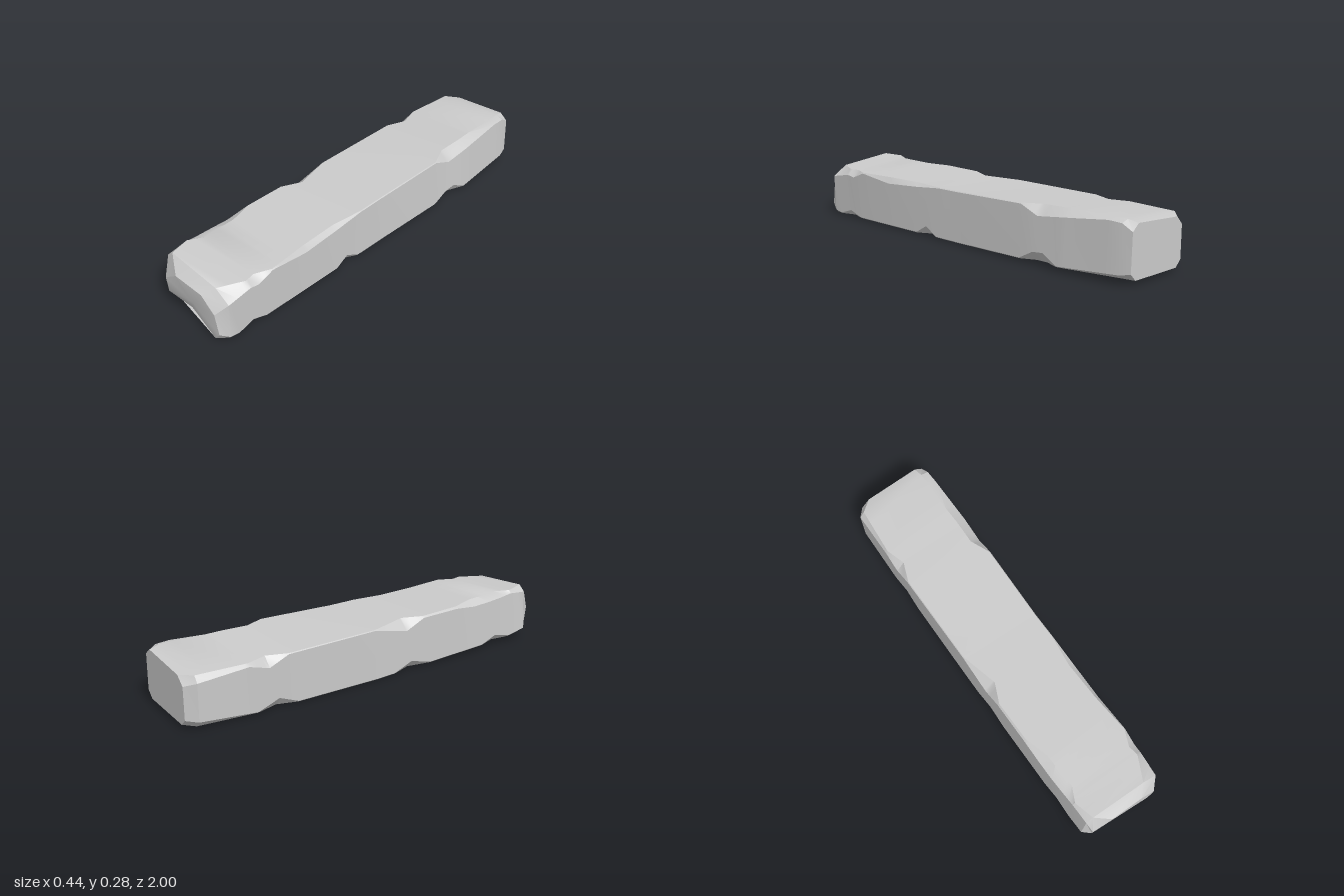
import * as THREE from 'three';
import { toCreasedNormals } from 'three/addons/utils/BufferGeometryUtils.js';

// Slightly twisted beam: corners [x, y] as top right, top left, bottom left, bottom right
const frames = [
  { z: -1, c: [[0.195, 0.283], [-0.215, 0.256], [-0.212, 0.014], [0.205, 0.03]] },
  { z: -0.63, c: [[0.208, 0.278], [-0.22, 0.258], [-0.213, 0.008], [0.22, 0.02]] },
  { z: 0, c: [[0.197, 0.262], [-0.216, 0.262], [-0.214, 0.003], [0.2, 0.008]] },
  { z: 0.7, c: [[0.207, 0.26], [-0.212, 0.277], [-0.214, 0.026], [0.197, 0.009]] },
  { z: 1, c: [[0.2, 0.258], [-0.2, 0.289], [-0.213, 0.04], [0.194, 0.01]] },
];

// Worn edges and chips: [z, cut across the width, cut down the side] along each edge
const chips = [
  [[-0.95, 0.04, 0.012], [-0.88, 0.04, 0.008], [-0.72, 0.05, 0.025], [-0.5, 0.05, 0.047], [-0.4, 0.004, 0.004],
    [0.14, 0.004, 0.004], [0.3, 0.025, 0.018], [0.5, 0.02, 0.03], [0.7, 0.004, 0.004], [0.78, 0.036, 0.035],
    [0.83, 0.025, 0.028], [0.95, 0.08, 0.05]],
  [[-0.95, 0.025, 0.03], [-0.7, 0.01, 0.015], [-0.6, 0.042, 0.045], [-0.5, 0.004, 0.004], [-0.02, 0.004, 0.004],
    [0.17, 0.052, 0.05], [0.27, 0.008, 0.008], [0.48, 0.01, 0.01], [0.6, 0.045, 0.025], [0.78, 0.05, 0.02],
    [0.85, 0.012, 0.015], [0.95, 0.035, 0.03]],
  [[-0.95, 0.03, 0.03], [-0.66, 0.004, 0.004], [-0.55, 0.035, 0.045], [-0.45, 0.004, 0.004], [0.1, 0.004, 0.004],
    [0.2, 0.035, 0.04], [0.32, 0.004, 0.004], [0.66, 0.004, 0.004], [0.75, 0.03, 0.035], [0.85, 0.006, 0.006],
    [0.95, 0.05, 0.02]],
  [[-0.95, 0.03, 0.02], [-0.62, 0.004, 0.004], [-0.54, 0.035, 0.05], [-0.48, 0.035, 0.045], [-0.4, 0.004, 0.004],
    [0.16, 0.004, 0.004], [0.23, 0.04, 0.045], [0.3, 0.004, 0.004], [0.74, 0.004, 0.004], [0.82, 0.03, 0.03],
    [0.9, 0.004, 0.004], [0.95, 0.012, 0.012]],
];

// End faces, in the same order as the eight points of a section
const backEnd = [[0.19, 0.24, -1], [0.15, 0.272, -1], [-0.13, 0.25, -1], [-0.175, 0.21, -1],
  [-0.175, 0.05, -1], [-0.14, 0.018, -1], [0.16, 0.026, -1], [0.195, 0.06, -1]];
const frontEnd = [[0.16, 0.16, 1], [0.08, 0.225, 1], [-0.09, 0.23, 1], [-0.185, 0.16, 0.99],
  [-0.18, 0.08, 0.985], [-0.06, 0.036, 0.955], [0.145, 0.014, 0.995], [0.175, 0.05, 0.995]];

// Linear lookup of [key, ...values] rows
function sample(rows, z) {
  let i = 0;
  while (i < rows.length - 2 && rows[i + 1][0] < z) i++;
  const t = THREE.MathUtils.clamp((z - rows[i][0]) / (rows[i + 1][0] - rows[i][0]), 0, 1);
  return rows[i].slice(1).map((v, k) => THREE.MathUtils.lerp(v, rows[i + 1][k + 1], t));
}

// Eight-sided section with every corner cut by the local chip
function section(z) {
  const ring = [];
  for (let k = 0; k < 4; k++) {
    const [x, y] = sample(frames.map((f) => [f.z, ...f.c[k]]), z);
    const [cx, cy] = sample(chips[k], z);
    const side = [x, y + (k < 2 ? -cy : cy), z];
    const flat = [x + (k === 0 || k === 3 ? -cx : cx), y, z];
    ring.push(...(k % 2 === 0 ? [side, flat] : [flat, side]));
  }
  return ring;
}

function beamGeometry() {
  const stations = [...new Set([...chips.flat().map((c) => c[0]), -0.63, 0, 0.7])].sort((a, b) => a - b);
  const rings = [backEnd, ...stations.map(section), frontEnd];
  const pos = [];
  const tri = (a, b, c) => pos.push(...a, ...b, ...c);

  // Long sides
  for (let i = 0; i < rings.length - 1; i++) {
    for (let k = 0; k < 8; k++) {
      const n = (k + 1) % 8;
      const [a, b, c, d] = [rings[i][k], rings[i][n], rings[i + 1][n], rings[i + 1][k]];
      tri(a, b, c);
      tri(a, c, d);
    }
  }
  // End caps
  const backMid = [0, 0.14, -1];
  const frontMid = [0.02, 0.14, 1];
  for (let k = 0; k < 8; k++) {
    const n = (k + 1) % 8;
    tri(backMid, backEnd[n], backEnd[k]);
    tri(frontMid, frontEnd[k], frontEnd[n]);
  }
  const geometry = new THREE.BufferGeometry();
  geometry.setAttribute('position', new THREE.Float32BufferAttribute(pos, 3));
  return toCreasedNormals(geometry, THREE.MathUtils.degToRad(28));
}

export function createModel() {
  const group = new THREE.Group();
  group.name = 'chippedBeam';
  const beam = new THREE.Mesh(beamGeometry(), new THREE.MeshStandardMaterial({ color: 0xcccccc }));
  beam.name = 'beam';
  group.add(beam);
  return group;
}
